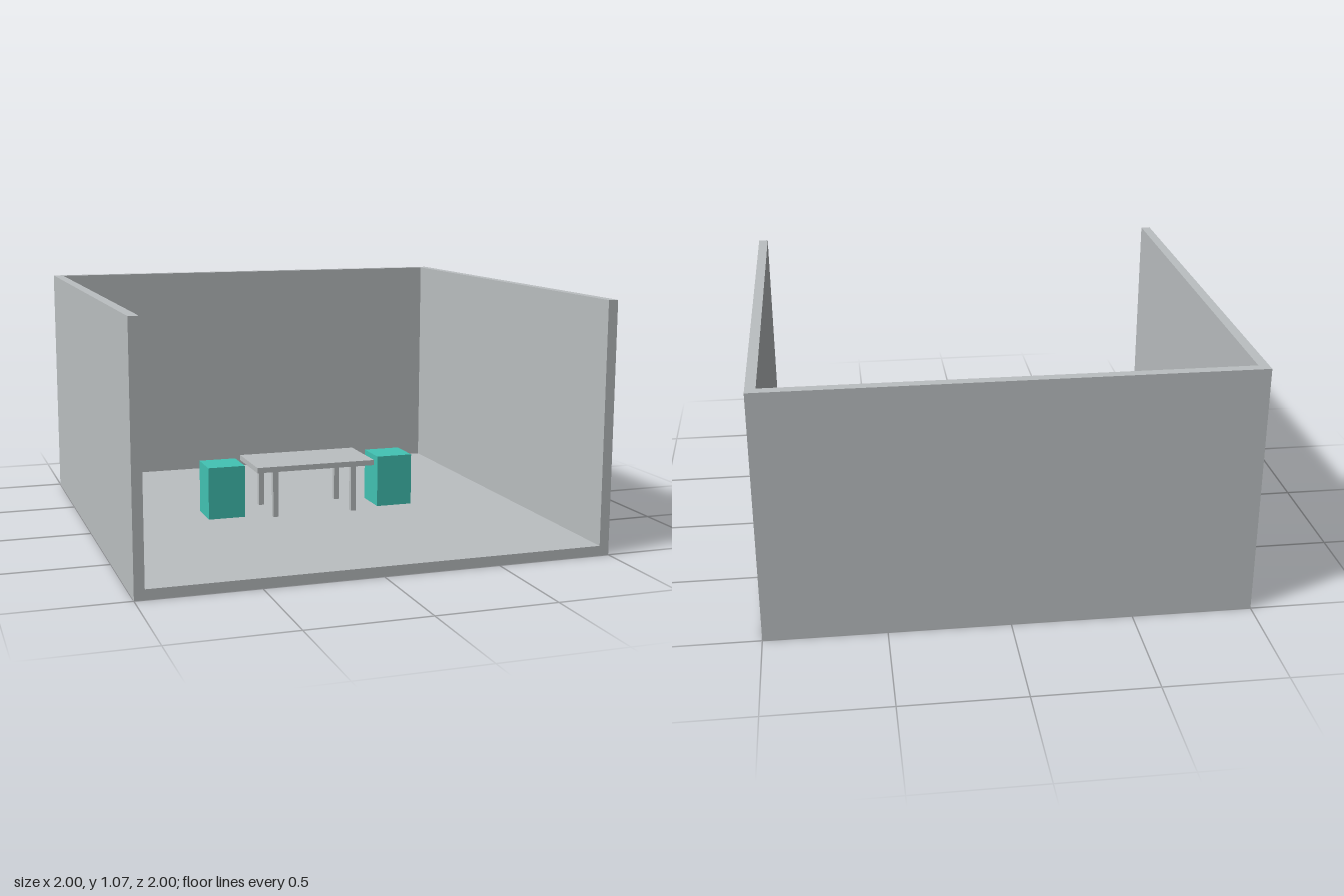
import * as THREE from 'three';

const T = 0.042;      // wall and floor thickness
const H = 1.066;      // overall height
const TOP = 0.277;    // height of table and seats

export function createModel() {
  const room = new THREE.Group();
  room.name = 'room';
  const grey = new THREE.MeshStandardMaterial({ color: 0xbbbfc1 });
  grey.name = 'pale grey';
  const teal = new THREE.MeshStandardMaterial({ color: 0x42c3b4 });
  teal.name = 'teal';

  function box(parent, name, material, [w, h, d], [x, bottom, z]) {
    const mesh = new THREE.Mesh(new THREE.BoxGeometry(w, h, d), material);
    mesh.name = name;
    mesh.position.set(x, bottom + h / 2, z);
    parent.add(mesh);
  }

  // Floor slab
  box(room, 'floor', grey, [2, T, 2], [0, 0, 0]);

  // U-shaped walls, open at the front
  const i = 1 - T;
  const plan = new THREE.Shape([
    [-1, -1], [-i, -1], [-i, i], [i, i], [i, -1], [1, -1], [1, 1], [-1, 1],
  ].map(([x, y]) => new THREE.Vector2(x, y)));
  const wallGeometry = new THREE.ExtrudeGeometry(plan, { depth: H - T, bevelEnabled: false });
  wallGeometry.rotateX(-Math.PI / 2);
  const walls = new THREE.Mesh(wallGeometry, grey);
  walls.name = 'walls';
  walls.position.y = T;
  room.add(walls);

  // Table with four legs
  const table = new THREE.Group();
  table.name = 'table';
  const slab = 0.024;
  box(table, 'tableTop', grey, [0.554, slab, 0.294], [0, TOP - slab, 0]);
  for (const x of [-0.187, 0.184]) {
    for (const z of [-0.117, 0.117]) {
      box(table, 'tableLeg', grey, [0.024, TOP - slab - T, 0.024], [x, T, z]);
    }
  }
  room.add(table);

  // Block seats at each end of the table
  for (const side of [-1, 1]) {
    box(room, side > 0 ? 'leftSeat' : 'rightSeat', teal,
      [0.168, TOP - T, 0.168], [side * 0.402, T, 0]);
  }
  return room;
}
